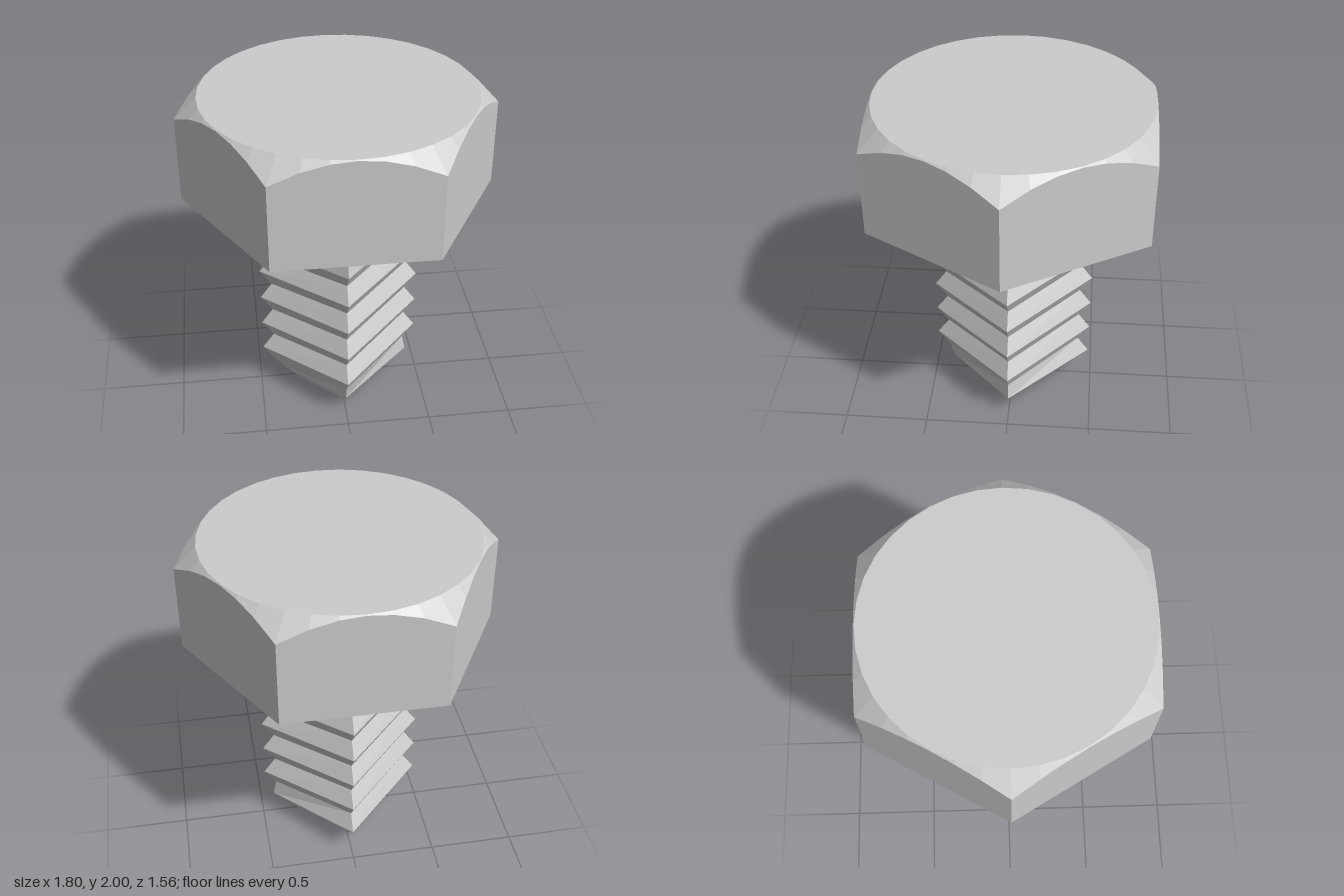
import * as THREE from 'three';

const material = new THREE.MeshStandardMaterial({
  color: 0xcccccc, flatShading: true, side: THREE.DoubleSide,
});

// Point at height y, radius r; angle t runs anticlockwise seen from above, starting at the back
const polar = (t, r, y) => new THREE.Vector3(-Math.sin(t) * r, y, -Math.cos(t) * r);

// Skin between successive rings (bottom to top), skipping collapsed triangles
function loft(name, rings) {
  const positions = [];
  const tri = (a, b, c) => {
    if (new THREE.Triangle(a, b, c).getArea() > 1e-7) {
      for (const p of [a, b, c]) positions.push(p.x, p.y, p.z);
    }
  };
  for (let i = 0; i < rings.length - 1; i++) {
    for (let j = 0; j < rings[i].length - 1; j++) {
      const a = rings[i][j], b = rings[i][j + 1];
      const c = rings[i + 1][j + 1], d = rings[i + 1][j];
      tri(a, b, c);
      tri(a, c, d);
    }
  }
  const geometry = new THREE.BufferGeometry();
  geometry.setAttribute('position', new THREE.Float32BufferAttribute(positions, 3));
  geometry.computeVertexNormals();
  const mesh = new THREE.Mesh(geometry, material);
  mesh.name = name;
  return mesh;
}

// Hexagonal head: hollow, with a thin washer face below and a conical chamfer on top
function createHead() {
  const segments = 36, apothem = 0.78, step = Math.PI / 3;
  const ring = (radius, height) => Array.from({ length: segments + 1 }, (_, i) => {
    const t = (i % segments) / segments * Math.PI * 2;
    const hex = apothem / Math.cos(t - Math.round(t / step) * step);
    return polar(t, radius(hex), height(hex));
  });
  return loft('head', [
    ring(() => 0.48, () => 1.37),
    ring(() => 0.775, () => 1.37),
    ring(() => 0.775, () => 1.376),
    ring((hex) => hex, () => 1.376),
    ring((hex) => hex, (hex) => 2 - (hex - 0.775) * 0.96),
    ring(() => 0.775, () => 2),
    ring(() => 0, () => 2),
  ]);
}

// Four-sided shank with a helical thread, chamfered tip and thread run-out under the head
function createShank() {
  const pitch = 0.195, top = 1.372, crest = 0.48, root = 0.41, tip = 0.28;
  const rings = [Array.from({ length: 5 }, () => new THREE.Vector3())];
  for (let k = -3; k <= 15; k++) {
    const row = [];
    for (let q = 0; q <= 4; q++) {
      const y = THREE.MathUtils.clamp(0.003 + pitch * (k / 2 + q / 4), 0, top);
      const runOut = THREE.MathUtils.clamp((y - 1.075) / 0.19, 0, 1);
      const thread = k % 2 === 0 ? crest : THREE.MathUtils.lerp(root, crest, runOut);
      row.push(polar(q * Math.PI / 2, Math.min(thread, tip + y), y));
    }
    rings.push(row);
  }
  return loft('threadedShank', rings);
}

export function createModel() {
  const bolt = new THREE.Group();
  bolt.name = 'hexBolt';
  bolt.add(createHead(), createShank());
  return bolt;
}
